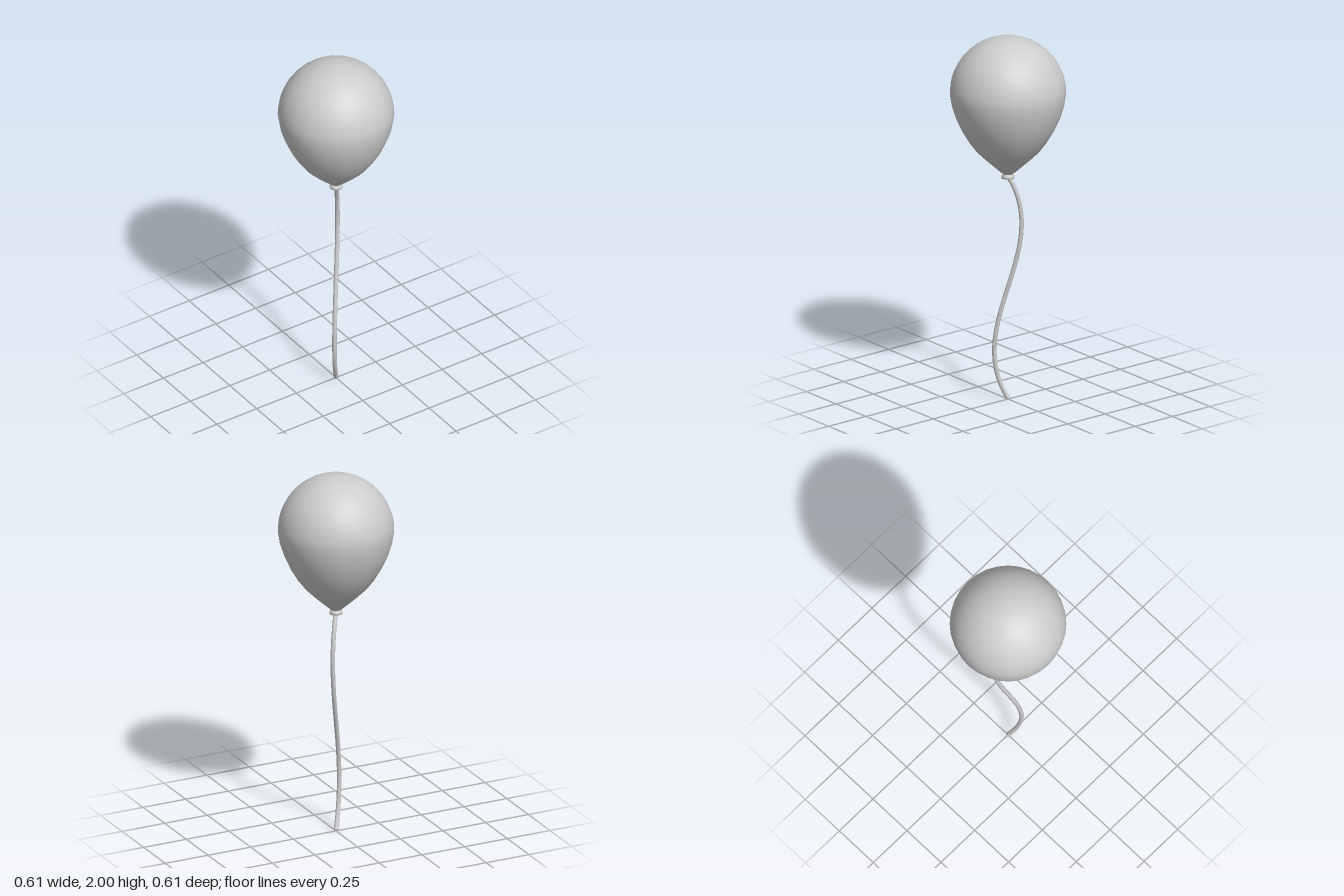
import * as THREE from 'three';

const V2 = (x, y) => new THREE.Vector2(x, y);
const V3 = (x, y, z) => new THREE.Vector3(x, y, z);

export function createModel() {
  const group = new THREE.Group();
  const grey = new THREE.MeshStandardMaterial({ color: 0xcccccc });
  grey.name = 'light grey';

  const add = (name, geometry, parent = group) => {
    const mesh = new THREE.Mesh(geometry, grey);
    mesh.name = name;
    parent.add(mesh);
    return mesh;
  };

  // Balloon: tapered lower half, hemispherical crown
  const R = 0.305, centreY = 1.695;
  const profile = [
    [0.02, 1.245], [0.034, 1.255], [0.075, 1.292], [0.12, 1.334], [0.168, 1.382],
    [0.208, 1.436], [0.243, 1.495], [0.272, 1.56], [0.294, 1.628],
  ].map(([r, y]) => V2(r, y));
  const steps = 12;
  for (let i = 0; i <= steps; i++) {
    const a = (i / steps) * Math.PI / 2;
    profile.push(V2(i === steps ? 0 : R * Math.cos(a), centreY + R * Math.sin(a)));
  }
  add('balloon', new THREE.LatheGeometry(profile, 32));

  // Knot: flared neck ending in a thin rolled lip
  const knot = new THREE.Group();
  knot.name = 'knot';
  group.add(knot);
  add('knotNeck', new THREE.CylinderGeometry(0.022, 0.033, 0.022, 32), knot).position.y = 1.246;
  add('knotLip', new THREE.CylinderGeometry(0.036, 0.034, 0.011, 32), knot).position.y = 1.231;

  // String: an S-curve with closed ends
  const path = new THREE.CubicBezierCurve3(
    V3(0, 1.235, 0), V3(0.16, 0.825, -0.188), V3(-0.16, 0.416, 0.188), V3(0, 0.006, 0));
  const radius = 0.012;
  add('string', new THREE.TubeGeometry(path, 40, radius, 12, false));
  for (const t of [0, 1]) {
    const cap = add('stringEnd', new THREE.CircleGeometry(radius, 12));
    const outward = path.getTangent(t).multiplyScalar(t ? 1 : -1);
    cap.position.copy(path.getPoint(t));
    cap.quaternion.setFromUnitVectors(V3(0, 0, 1), outward);
  }

  return group;
}
